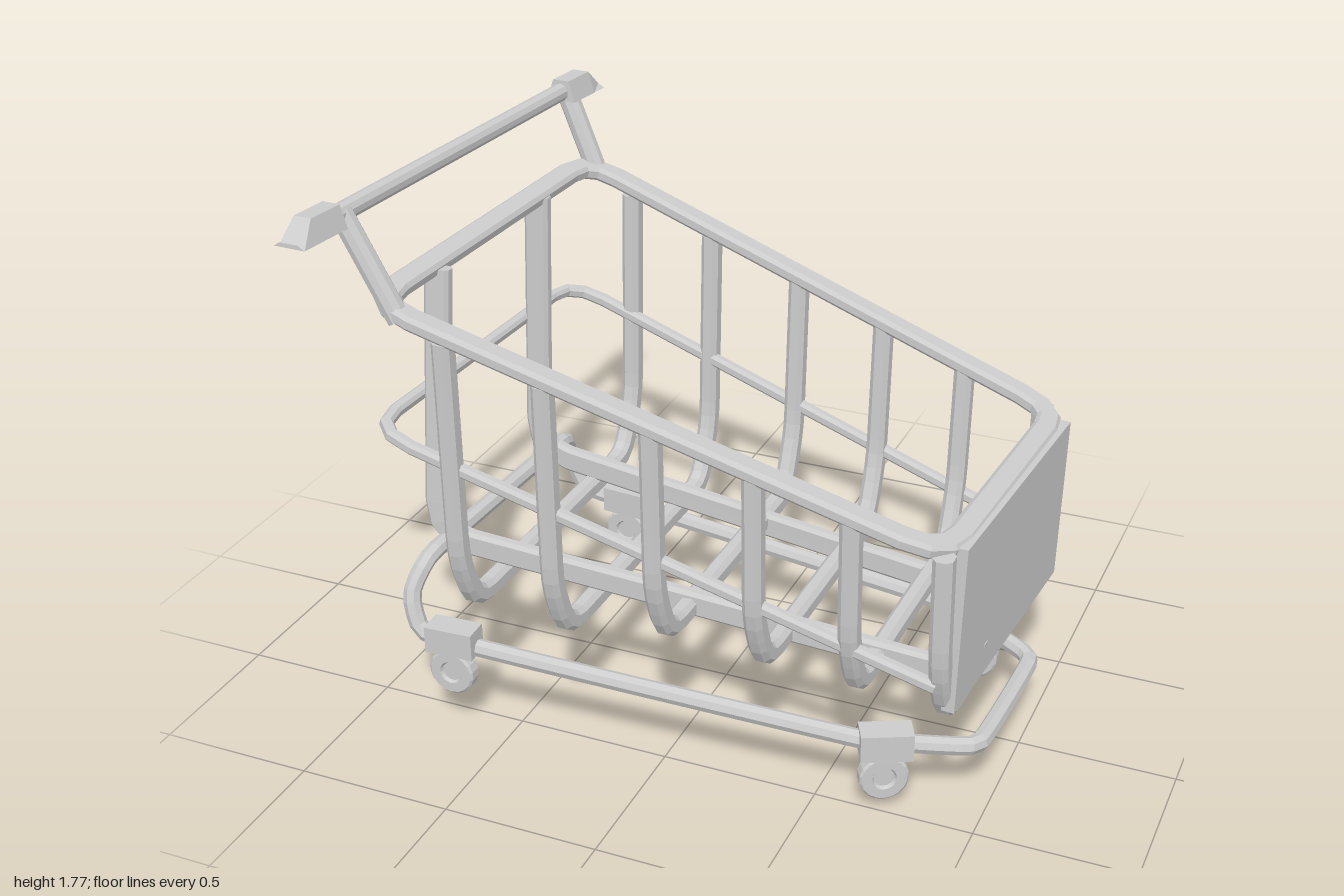
import * as THREE from 'three';

const V = (x, y, z) => new THREE.Vector3(x, y, z);
const material = new THREE.MeshStandardMaterial({ color: 0xcccccc, flatShading: true });

function add(parent, name, geometry) {
  const mesh = new THREE.Mesh(geometry, material);
  mesh.name = name;
  parent.add(mesh);
  return mesh;
}

// Replace each corner of a polyline with a short curve
function roundCorners(points, radius, closed = false, steps = 3) {
  const n = points.length, out = [];
  points.forEach((p, i) => {
    if (!closed && (i === 0 || i === n - 1)) return out.push(p);
    const toward = (q) => p.clone().lerp(q, Math.min(0.45, radius / p.distanceTo(q)));
    const bend = new THREE.QuadraticBezierCurve3(
      toward(points[(i + n - 1) % n]), p, toward(points[(i + 1) % n]));
    out.push(...bend.getPoints(steps));
  });
  return out;
}

// Sweep a chamfered bar (w along the side vector, h across it) along points
function sweepBar(points, side, w, h, closed = false) {
  const n = points.length, c = Math.min(w, h) * 0.25, a = w / 2, b = h / 2;
  const section = [[a, c - b], [a, b - c], [a - c, b], [c - a, b],
    [-a, b - c], [-a, c - b], [c - a, -b], [a - c, -b]];
  const rings = points.map((p, i) => {
    const prev = closed ? points[(i + n - 1) % n] : points[Math.max(i - 1, 0)];
    const next = closed ? points[(i + 1) % n] : points[Math.min(i + 1, n - 1)];
    const d1 = p.clone().sub(prev).normalize(), d2 = next.clone().sub(p).normalize();
    const t = d1.add(d2).normalize();
    const s = side.clone().addScaledVector(t, -side.dot(t)).normalize();
    const u = t.clone().cross(s);
    return section.map(([x, y]) => p.clone().addScaledVector(s, x).addScaledVector(u, y));
  });
  const pos = [];
  const tri = (...vs) => vs.forEach((v) => pos.push(v.x, v.y, v.z));
  for (let i = 0; i < (closed ? n : n - 1); i++) {
    const r = rings[i], q = rings[(i + 1) % n];
    for (let j = 0; j < 8; j++) {
      const k = (j + 1) % 8;
      tri(r[j], r[k], q[k]);
      tri(r[j], q[k], q[j]);
    }
  }
  if (!closed) {
    const r = rings[0], q = rings[n - 1];
    for (let j = 1; j < 7; j++) {
      tri(r[0], r[j + 1], r[j]);
      tri(q[0], q[j], q[j + 1]);
    }
  }
  const g = new THREE.BufferGeometry();
  g.setAttribute('position', new THREE.Float32BufferAttribute(pos, 3));
  g.computeVertexNormals();
  return g;
}

function rod(parent, name, from, to, radius) {
  const mesh = add(parent, name, new THREE.CylinderGeometry(radius, radius, from.distanceTo(to), 10));
  mesh.position.copy(from).lerp(to, 0.5);
  mesh.quaternion.setFromUnitVectors(V(0, 1, 0), to.clone().sub(from).normalize());
}

// Basket outline as functions of x; the basket narrows and lowers towards +x
const rimY = (x) => 1.19 - 0.28 * x;
const sideZ = (x, s) => (s > 0 ? 0.587 - 0.053 * x : -0.6 + 0.127 * x);

function buildBasket() {
  const basket = new THREE.Group();
  basket.name = 'basket';

  // Top rim, slightly skewed
  const rim = [V(-0.85, 1.455, 0.63), V(0.88, 0.945, 0.54), V(0.93, 0.925, -0.485), V(-0.81, 1.45, -0.7)];
  add(basket, 'topRim', sweepBar(roundCorners(rim, 0.13, true), V(0.27, 0.96, 0), 0.048, 0.078, true));

  // Crosswise hoops: position along x and floor height
  const hoops = [[-0.63, 0.435], [-0.32, 0.4], [0.01, 0.45], [0.32, 0.42], [0.61, 0.395], [0.88, 0.365]];
  for (const [x, yb] of hoops) {
    const zl = sideZ(x, 1), zr = sideZ(x, -1);
    const hoop = [V(x, rimY(x), zl), V(x, yb + 0.2, zl - 0.01), V(x, yb + 0.01, zl - 0.09),
      V(x, yb - 0.005, zr + 0.12), V(x, yb + 0.2, zr + 0.03), V(x, rimY(x), zr)];
    add(basket, 'crossHoop', sweepBar(roundCorners(hoop, 0.08), V(1, 0, 0), 0.06, 0.066));
  }

  // Lengthwise bars: down the back, under the floor and up at the far end
  for (const [zTop, zBack, zEnd, lift] of [[0.31, 0.37, 0.26, 0.015], [-0.345, -0.33, -0.235, -0.015]]) {
    const bar = [V(-0.815, 1.45, zTop), V(-0.84, 0.535 + lift, zBack),
      V(0.88, 0.37 + lift, zEnd), V(0.9, 0.52, zEnd)];
    add(basket, 'lengthwiseBar', sweepBar(roundCorners(bar, 0.12), V(0, 0, 1), 0.046, 0.085));
  }

  // Middle wire around the sides and back
  const wire = [V(0.87, 0.505, 0.53), V(-0.9, 1.03, 0.62), V(-0.87, 1.005, -0.67), V(0.87, 0.495, -0.48)];
  add(basket, 'middleWire', sweepBar(roundCorners(wire, 0.14), V(0.27, 0.96, 0), 0.04, 0.04));

  // End panel
  const panel = add(basket, 'endPanel', new THREE.BoxGeometry(0.04, 0.54, 0.93));
  panel.position.set(0.935, 0.672, 0.037);
  panel.rotation.set(-0.025, -0.055, -0.02);
  return basket;
}

function buildHandle() {
  const handle = new THREE.Group();
  handle.name = 'handle';
  rod(handle, 'handlePost', V(-0.77, 1.41, 0.62), V(-0.94, 1.72, 0.62), 0.036);
  rod(handle, 'handlePost', V(-0.76, 1.41, -0.69), V(-0.885, 1.695, -0.71), 0.036);
  rod(handle, 'handleBar', V(-0.945, 1.722, 0.82), V(-0.875, 1.695, -0.82), 0.03);

  // Grips with a narrow top that slopes down at the outer end
  for (const s of [1, -1]) {
    const g = new THREE.BoxGeometry(0.105, 0.07, 0.21, 1, 1, 3);
    const p = g.attributes.position;
    for (let i = 0; i < p.count; i++) {
      if (p.getY(i) < 0) continue;
      p.setX(i, p.getX(i) * 0.55);
      if (p.getZ(i) * s > 0.1) p.setY(i, -0.022);
    }
    g.computeVertexNormals();
    const grip = add(handle, 'grip', g);
    grip.position.set(-0.91 - 0.035 * s, 1.715 + 0.016 * s, 0.767 * s);
    grip.rotation.set(-0.04, -0.04, 0);
  }
  return handle;
}

function buildCaster(x, y, z, blockYaw, wheelYaw) {
  const caster = new THREE.Group();
  caster.name = 'caster';
  const block = add(caster, 'casterBlock', new THREE.BoxGeometry(0.16, 0.09, 0.085));
  block.rotation.y = blockYaw;

  const swivel = new THREE.Group();
  swivel.name = 'swivelWheel';
  swivel.rotation.y = wheelYaw;
  const stem = add(swivel, 'stem', new THREE.BoxGeometry(0.06, 0.07, 0.03));
  stem.position.set(0, -0.05, 0);

  // Wheel with a recessed hub on both sides
  const half = [[0, 0.014], [0.032, 0.014], [0.038, 0.025], [0.07, 0.025], [0.077, 0.018]];
  const profile = [...half.map(([r, h]) => [r, -h]), ...half.slice().reverse()]
    .map(([r, h]) => new THREE.Vector2(r, h));
  const wheel = add(swivel, 'wheel', new THREE.LatheGeometry(profile, 18).rotateX(Math.PI / 2));
  wheel.position.set(-0.005, -0.118, 0);
  caster.add(swivel);
  caster.position.set(x, y, z);
  return caster;
}

function buildUndercarriage() {
  const base = new THREE.Group();
  base.name = 'undercarriage';

  // Closed tube that rises to carry the basket at the back
  const path = [V(-0.81, 0.54, 0.5), V(-0.84, 0.44, 0.57), V(-0.8, 0.315, 0.59), V(0.66, 0.235, 0.49),
    V(0.955, 0.195, 0.34), V(0.97, 0.178, -0.22), V(0.64, 0.19, -0.41),
    V(-0.78, 0.265, -0.55), V(-0.84, 0.4, -0.55), V(-0.81, 0.5, -0.47)];
  const curve = new THREE.CatmullRomCurve3(roundCorners(path, 0.045, true), true, 'centripetal');
  add(base, 'baseTube', new THREE.TubeGeometry(curve, 150, 0.029, 8, true));

  base.add(
    buildCaster(-0.68, 0.325, 0.59, 0.05, 0),
    buildCaster(0.71, 0.232, 0.47, 0.45, 0.55),
    buildCaster(-0.6, 0.265, -0.535, -0.08, 0),
    buildCaster(0.76, 0.195, -0.325, -0.5, 0.05));
  return base;
}

export function createModel() {
  const model = new THREE.Group();
  model.name = 'shoppingCart';
  model.add(buildBasket(), buildHandle(), buildUndercarriage());
  return model;
}
